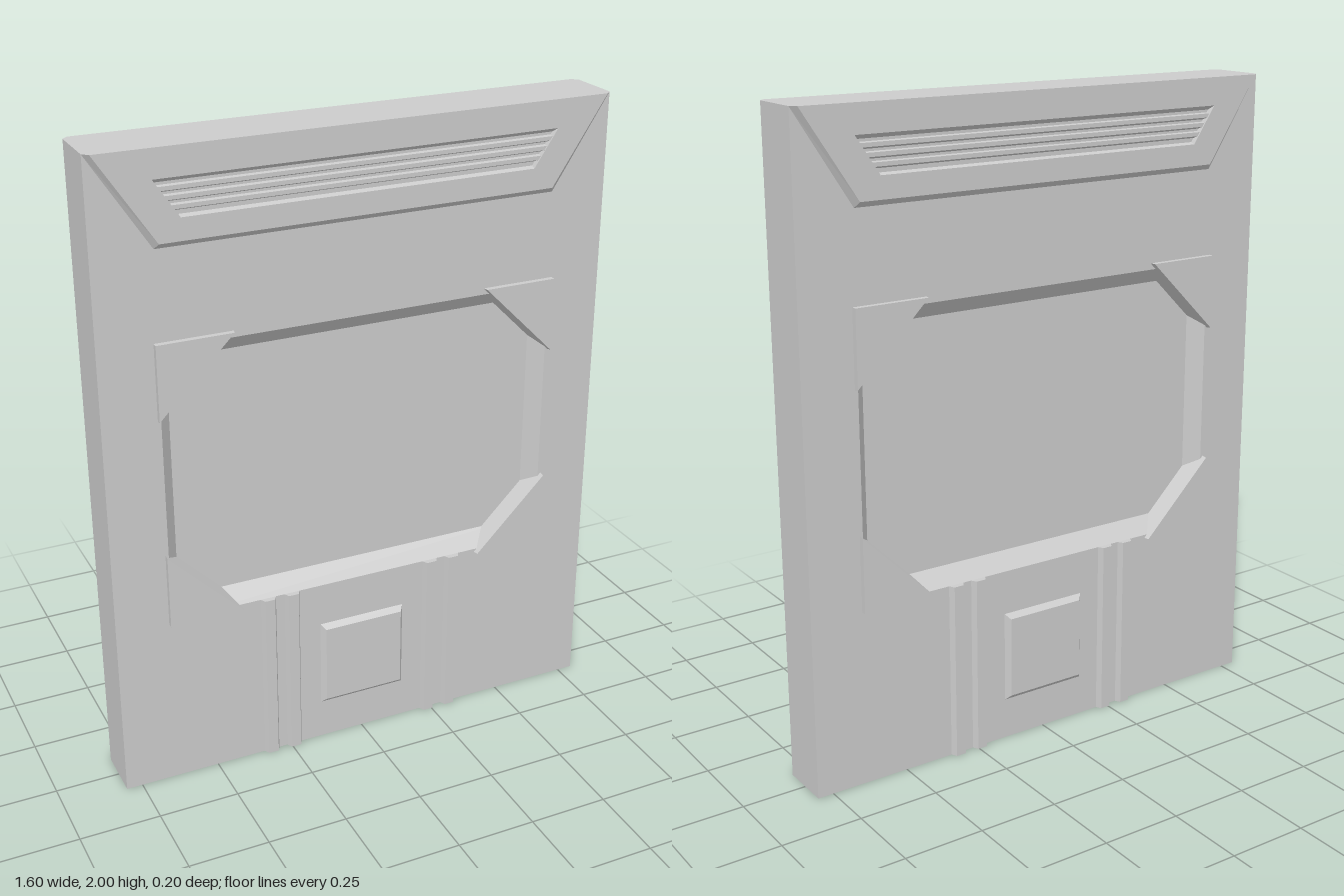
import * as THREE from 'three';
import { mergeGeometries } from 'three/addons/utils/BufferGeometryUtils.js';

const FLOOR = 0.038, FACE = 0.083, RAISED = 0.1;
const material = new THREE.MeshStandardMaterial({ color: 0xcccccc, flatShading: true });

// Outlines as [x, y] corners, anticlockwise seen from the front
const rect = (x0, y0, x1, y1) => [[x0, y0], [x1, y0], [x1, y1], [x0, y1]];
const trapezoid = (xBottom, y0, xTop, y1) => [[-xBottom, y0], [xBottom, y0], [xTop, y1], [-xTop, y1]];
const vectors = (loop) => loop.map(([x, y]) => new THREE.Vector2(x, y));

// Band of quads from loop a at z0 to loop b at z1
function band(a, z0, b, z1) {
  const p = [];
  a.forEach((_, i) => {
    const j = (i + 1) % a.length;
    p.push(...a[i], z0, ...a[j], z0, ...b[j], z1, ...a[i], z0, ...b[j], z1, ...b[i], z1);
  });
  const g = new THREE.BufferGeometry();
  g.setAttribute('position', new THREE.Float32BufferAttribute(p, 3));
  g.computeVertexNormals();
  return g;
}

// Flat face at height z, with an optional hole
function cap(loop, z, hole) {
  const shape = new THREE.Shape(vectors(loop));
  if (hole) shape.holes.push(new THREE.Path(vectors(hole)));
  const g = new THREE.ShapeGeometry(shape).toNonIndexed();
  g.deleteAttribute('uv');
  return g.translate(0, 0, z);
}

// Raised block with sloping sides; hole = { top, bottom, z } cuts a bevelled recess
function block(name, base, z0, top, z1, hole) {
  if (THREE.ShapeUtils.isClockWise(vectors(base))) {
    base = [...base].reverse();
    top = [...top].reverse();
  }
  const parts = [band(base, z0, top, z1), cap(top, z1, hole?.top)];
  if (hole) parts.push(band(hole.top, z1, hole.bottom, hole.z));
  const mesh = new THREE.Mesh(mergeGeometries(parts), material);
  mesh.name = name;
  return mesh;
}

function createFace() {
  const face = new THREE.Group();

  // Door skin with the large bevelled recess
  const outline = rect(-0.8, 0, 0.8, 2);
  face.add(block('doorSkin', outline, FLOOR, outline, FACE, {
    top: rect(-0.625, 0.56, 0.625, 1.43),
    bottom: rect(-0.587, 0.61, 0.587, 1.38),
    z: FLOOR,
  }));

  // Triangular plates over the recess corners
  for (const sx of [-1, 1]) {
    for (const sy of [-1, 1]) {
      const corner = (reach) => [[0.635, 0.45], [0.635 - reach, 0.45], [0.635, 0.45 - reach]]
        .map(([x, y]) => [sx * x, 1 + sy * y]);
      face.add(block('cornerPlate', corner(0.245), FLOOR, corner(0.232), RAISED));
    }
  }

  // Header plate with its vent opening
  face.add(block('headerPlate', trapezoid(0.62, 1.72, 0.8, 2), FACE, trapezoid(0.61, 1.737, 0.783, 2), RAISED, {
    top: trapezoid(0.545, 1.803, 0.62, 1.915),
    bottom: trapezoid(0.547, 1.808, 0.61, 1.902),
    z: FACE,
  }));

  // Vent slats, following the slope of the opening's ends
  const slatWidth = (y) => 0.545 + (y - 1.803) * 0.67;
  for (let i = 0; i < 3; i++) {
    const y0 = 1.82 + i * 0.027, y1 = y0 + 0.02;
    face.add(block('ventSlat',
      trapezoid(slatWidth(y0), y0, slatWidth(y1), y1), FACE,
      trapezoid(slatWidth(y0 + 0.006), y0 + 0.006, slatWidth(y1), y1 - 0.002), 0.096));
  }

  // Paired ribs below the recess
  for (const s of [-1, 1]) {
    for (const x of [0.238, 0.316]) {
      const c = s * x;
      face.add(block('rib', rect(c - 0.025, 0, c + 0.025, 0.56), FACE,
        rect(c - 0.016, 0, c + 0.016, 0.56), RAISED));
    }
  }

  // Small raised panel between the ribs
  face.add(block('kickPanel', rect(-0.143, 0.13, 0.143, 0.42), FACE,
    rect(-0.13, 0.147, 0.13, 0.405), RAISED));
  return face;
}

export function createModel() {
  const model = new THREE.Group();
  model.name = 'door';

  // Core slab; its faces form the floors of the recesses
  const core = new THREE.Mesh(new THREE.BoxGeometry(1.6, 2, 2 * FLOOR), material);
  core.name = 'core';
  core.position.y = 1;

  // Identical front and back
  const front = createFace();
  front.name = 'frontFace';
  const back = front.clone();
  back.name = 'backFace';
  back.rotation.y = Math.PI;

  model.add(core, front, back);
  return model;
}
